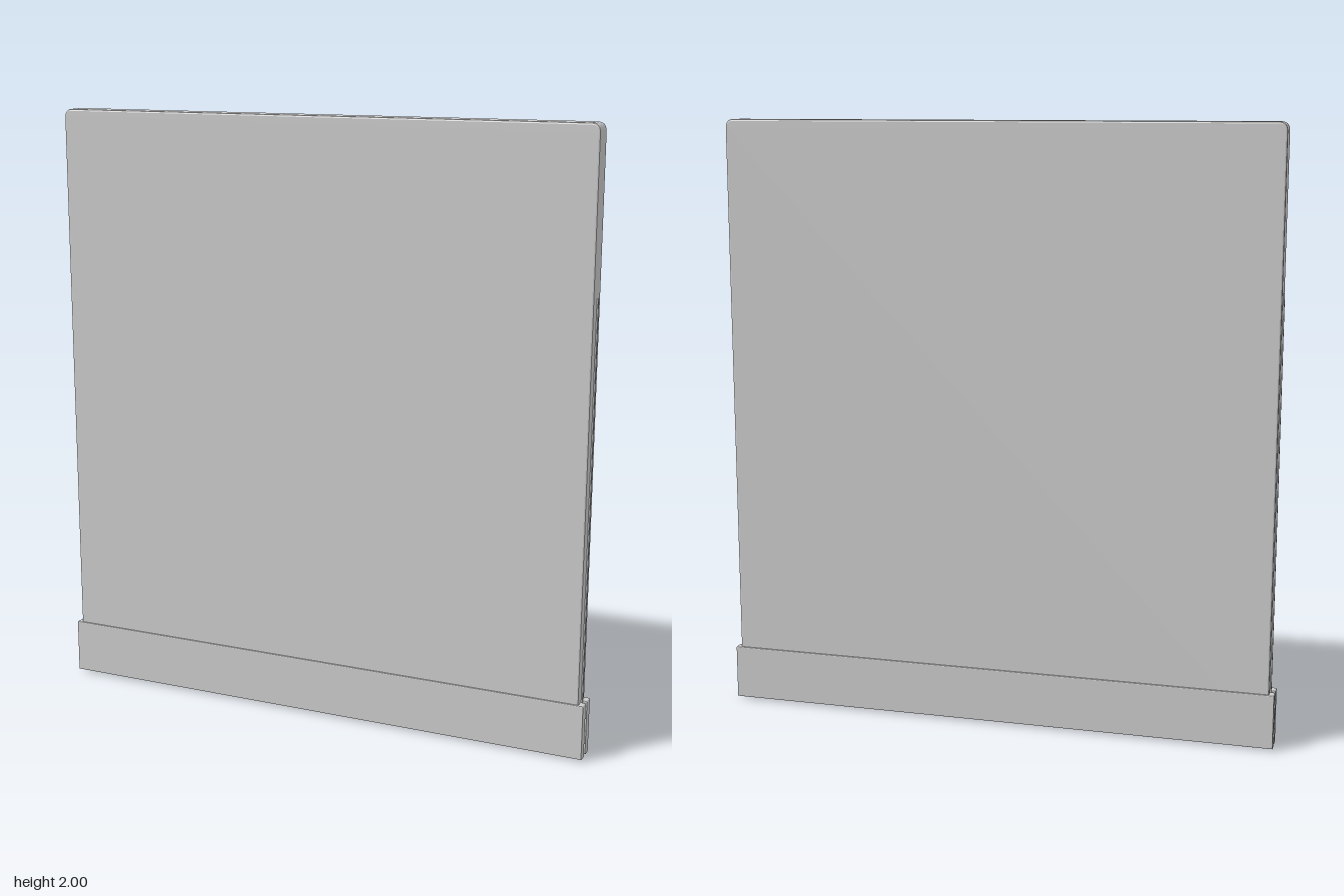
import * as THREE from 'three';

const material = new THREE.MeshStandardMaterial({ color: 0xcccccc });

// Upright slab with rounded top corners and softly bevelled edges, centred on z
function slab(halfWidth, bottom, top, depth, radius, bevel) {
  const w = halfWidth - bevel, b = bottom + bevel, t = top - bevel;
  const shape = new THREE.Shape();
  shape.moveTo(-w, b);
  shape.lineTo(w, b);
  shape.lineTo(w, t - radius);
  shape.quadraticCurveTo(w, t, w - radius, t);
  shape.lineTo(-w + radius, t);
  shape.quadraticCurveTo(-w, t, -w, t - radius);
  shape.closePath();
  const geometry = new THREE.ExtrudeGeometry(shape, {
    depth: depth - 2 * bevel, bevelEnabled: true, bevelSize: bevel,
    bevelThickness: bevel, bevelSegments: 2, curveSegments: 6,
  });
  geometry.translate(0, 0, -depth / 2 + bevel);
  return geometry;
}

export function createModel() {
  const model = new THREE.Group();
  const add = (name, geometry, z = 0) => {
    const mesh = new THREE.Mesh(geometry, material);
    mesh.name = name;
    mesh.position.z = z;
    model.add(mesh);
  };

  // Main panel
  add('panel', slab(0.915, 0.03, 2, 0.07, 0.022, 0.006));

  // Thin core sheet showing along the lower sides and the bottom
  const core = new THREE.BoxGeometry(1.838, 1.48, 0.008);
  core.translate(0, 0.74, 0);
  add('coreSheet', core);

  // Bottom rail: two facing strips with a narrow groove between them
  for (const side of [1, -1]) {
    add(side > 0 ? 'frontRail' : 'backRail',
      slab(0.932, 0.008, 0.19, 0.033, 0.002, 0.003), side * 0.0235);
  }
  return model;
}
